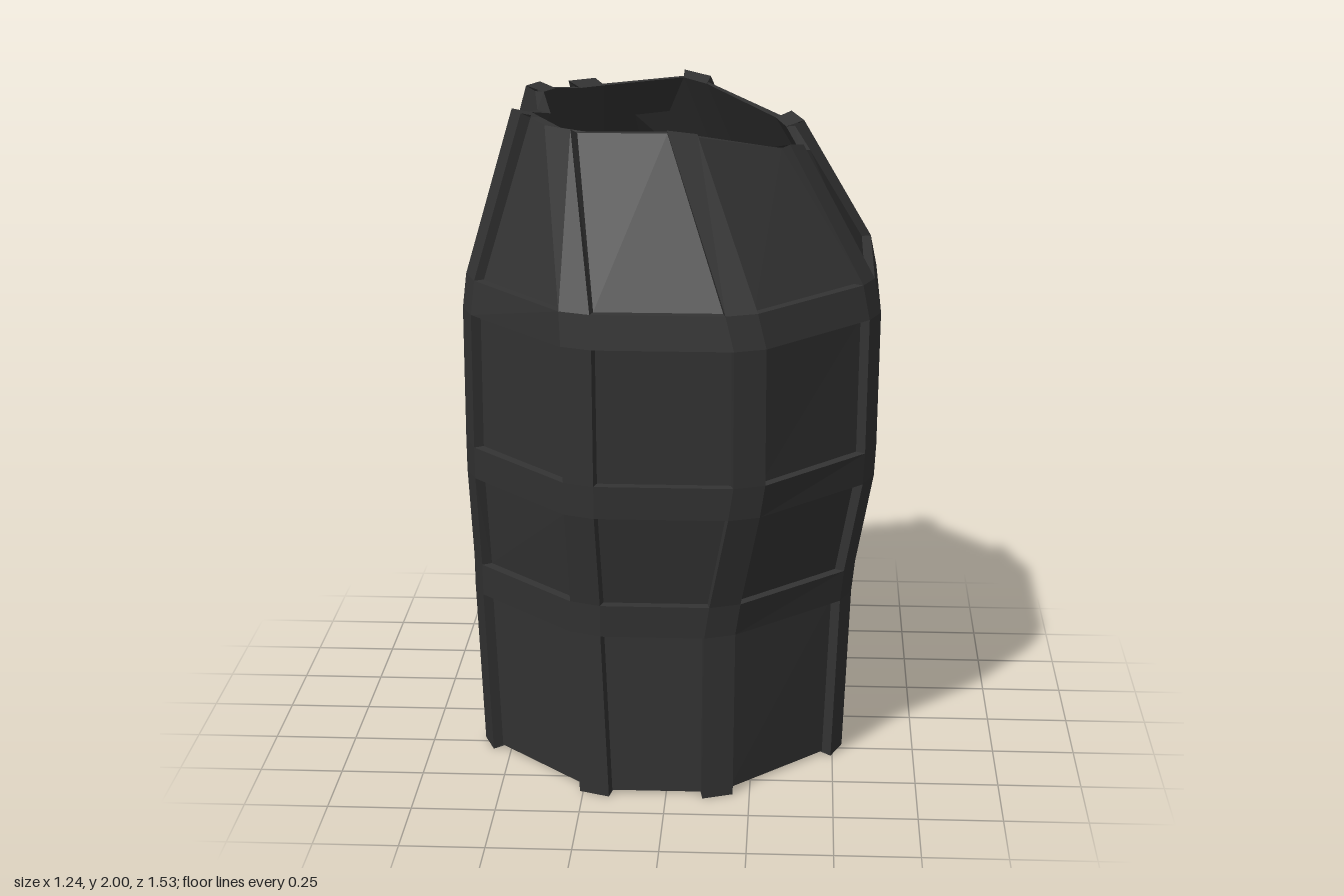
import * as THREE from 'three';

const RECESS = 0.032, WALL = 0.062;

// Half cross-sections: y, right x, left x, side-rib z, front z, front-rib x right, front-rib x left
const LEVELS = [
  [0.00, 0.53, -0.59, 0.22, 0.64, 0.11, -0.17],
  [0.52, 0.55, -0.61, 0.235, 0.657, 0.115, -0.19],
  [0.62, 0.56, -0.61, 0.245, 0.668, 0.13, -0.19],
  [0.91, 0.61, -0.62, 0.285, 0.73, 0.185, -0.20],
  [1.01, 0.615, -0.62, 0.295, 0.74, 0.20, -0.20],
  [1.42, 0.62, -0.62, 0.30, 0.765, 0.20, -0.20],
  [1.52, 0.60, -0.61, 0.285, 0.755, 0.175, -0.205],
];

// Uneven rib ends around the open top
const TOP = [
  [0.385, 1.90, 0.20], [0.345, 1.915, 0.28], [0.085, 1.985, 0.50], [0.0, 2.0, 0.53],
  [-0.28, 1.985, 0.445], [-0.36, 1.985, 0.385], [-0.44, 2.0, 0.28], [-0.475, 2.0, 0.20],
];

function halfSection([y, xr, xl, zs, zf, fr, fl]) {
  return [
    [xr, y, zs], [xr - 0.035, y, zs + 0.09], [fr + 0.09, y, zf - 0.035], [fr, y, zf],
    [fl, y, zf], [fl - 0.09, y, zf - 0.035], [xl + 0.035, y, zs + 0.09], [xl, y, zs],
  ];
}

// Mirror a half section front to back to make the full 16-point ring
function fullRing(half) {
  const back = half.map(([x, y, z]) => [x, y, -z]).reverse();
  return [...half, ...back].map((p) => new THREE.Vector3(...p));
}

// Move a point toward the axis, optionally shifting its height
function inset(p, d, dy = 0) {
  const r = Math.hypot(p.x, p.z);
  return new THREE.Vector3(p.x * (1 - d / r), p.y + dy, p.z * (1 - d / r));
}

export function createModel() {
  const group = new THREE.Group();
  const material = new THREE.MeshStandardMaterial({
    color: 0x333333, flatShading: true, side: THREE.DoubleSide,
  });
  const parts = {};
  const face = (name, ...pts) => {
    const list = (parts[name] ??= []);
    for (let i = 1; i < pts.length - 1; i++) {
      for (const p of [pts[0], pts[i], pts[i + 1]]) list.push(p.x, p.y, p.z);
    }
  };

  const rings = [...LEVELS.map(halfSection), TOP].map(fullRing);
  const last = rings.length - 1;
  // Panels and liner stop slightly short of the rib ends
  const endShift = (i) => (i === 0 ? 0.008 : i === last ? -0.015 : 0);
  const sunk = rings.map((r, i) => r.map((p) => inset(p, RECESS, endShift(i))));
  const inner = rings.map((r, i) => r.map((p) => inset(p, WALL, endShift(i))));

  // Dips in the middle of the two side panels' top edges
  const dips = {
    7: [new THREE.Vector3(-0.42, 1.96, 0), new THREE.Vector3(-0.38, 1.95, 0)],
    15: [new THREE.Vector3(0.405, 1.845, 0), new THREE.Vector3(0.375, 1.84, 0)],
  };

  for (let j = 0; j < 16; j++) {
    const k = (j + 1) % 16;
    const isRib = j % 2 === 0;
    const dip = dips[j];

    for (let i = 0; i < last; i++) {
      const lo = rings[i], hi = rings[i + 1];
      const sLo = sunk[i], sHi = sunk[i + 1];
      const nLo = inner[i], nHi = inner[i + 1];
      const dipped = dip && i === last - 1;

      if (isRib) {
        face('cornerRibs', lo[k], lo[j], hi[j], hi[k]);
      } else if (i % 2 === 1) {
        face('crossBands', lo[k], lo[j], hi[j], hi[k]);
      } else {
        // Recessed plate and the frame edges around it
        if (dipped) face('panels', dip[0], sHi[k], sLo[k], sLo[j], sHi[j]);
        else face('panels', sLo[k], sLo[j], sHi[j], sHi[k]);
        face('frameEdges', lo[j], hi[j], sHi[j], sLo[j]);
        face('frameEdges', hi[k], lo[k], sLo[k], sHi[k]);
        if (i > 0) face('frameEdges', lo[j], sLo[j], sLo[k], lo[k]);
        if (i < last - 1) face('frameEdges', hi[k], sHi[k], sHi[j], hi[j]);
      }

      // Inside wall
      if (dipped) face('innerWall', dip[1], nHi[j], nLo[j], nLo[k], nHi[k]);
      else face('innerWall', nLo[j], nLo[k], nHi[k], nHi[j]);
    }

    // Open rims joining outer and inner walls
    const topEdge = (isRib ? rings : sunk)[last], topIn = inner[last];
    if (dip) {
      face('topRim', topEdge[j], topIn[j], dip[1], dip[0]);
      face('topRim', dip[0], dip[1], topIn[k], topEdge[k]);
    } else {
      face('topRim', topEdge[j], topIn[j], topIn[k], topEdge[k]);
    }
    const base = (isRib ? rings : sunk)[0], baseIn = inner[0];
    face('bottomRim', base[j], base[k], baseIn[k], baseIn[j]);
  }

  for (const [name, positions] of Object.entries(parts)) {
    const geometry = new THREE.BufferGeometry();
    geometry.setAttribute('position', new THREE.Float32BufferAttribute(positions, 3));
    geometry.computeVertexNormals();
    const mesh = new THREE.Mesh(geometry, material);
    mesh.name = name;
    group.add(mesh);
  }
  group.name = 'ribbedShell';
  return group;
}
